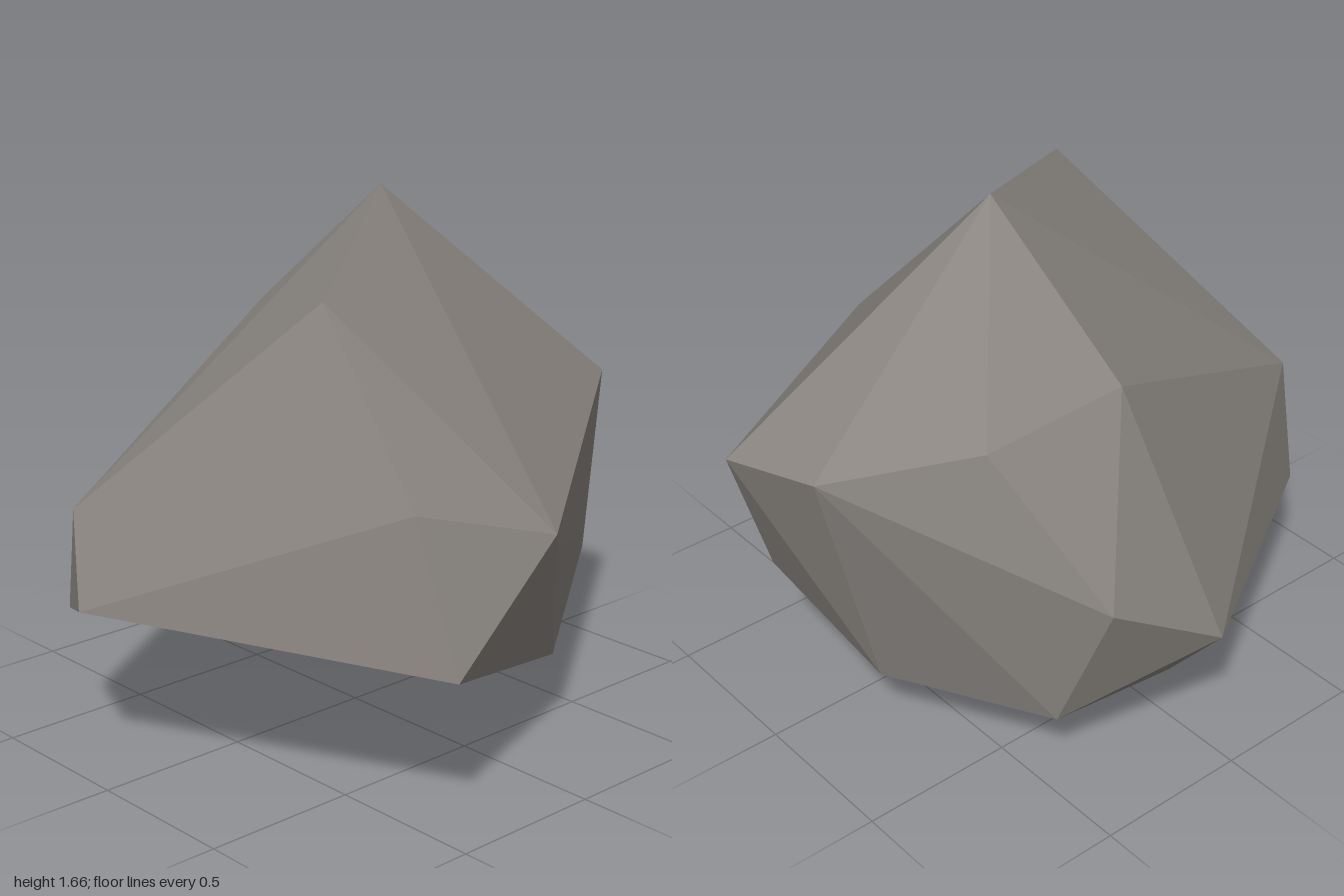
import * as THREE from 'three';
import { ConvexGeometry } from 'three/addons/geometries/ConvexGeometry.js';

export function createModel() {
  const group = new THREE.Group();
  group.name = 'boulder';

  const stoneGrey = new THREE.MeshStandardMaterial({ color: 0x8a8580 });
  stoneGrey.name = 'stoneGrey';

  // Corners of the faceted stone, in rings from the top down
  const crown = [[-0.1, 1.66, -0.2], [0.32, 1.45, 0.42], [-0.6, 1.22, -0.13]];
  const shoulder = [
    [0.76, 0.93, 0.475], [0.86, 0.79, 0], [0.15, 0.96, -1], [-0.21, 1.03, -0.94],
    [-0.54, 1.15, -0.58], [-0.87, 0.68, -0.39], [-0.32, 0.77, 0.86],
  ];
  const waist = [
    [0.93, 0.48, 0.465], [-0.11, 0.535, 1], [-0.44, 0.405, 0.805],
    [-0.93, 0.44, 0], [0.27, 0.41, -0.79],
  ];
  const base = [
    [0.53, 0.215, -0.365], [-0.2, 0.225, -0.73], [-0.7, 0.22, -0.45],
    [-0.65, 0.105, 0.06], [-0.4, 0, -0.335],
  ];

  // The stone is the hull around its corners, with one flat normal per facet
  const corners = [...crown, ...shoulder, ...waist, ...base].map((p) => new THREE.Vector3(...p));
  const stone = new THREE.Mesh(new ConvexGeometry(corners), stoneGrey);
  stone.name = 'stone';
  group.add(stone);

  return group;
}
